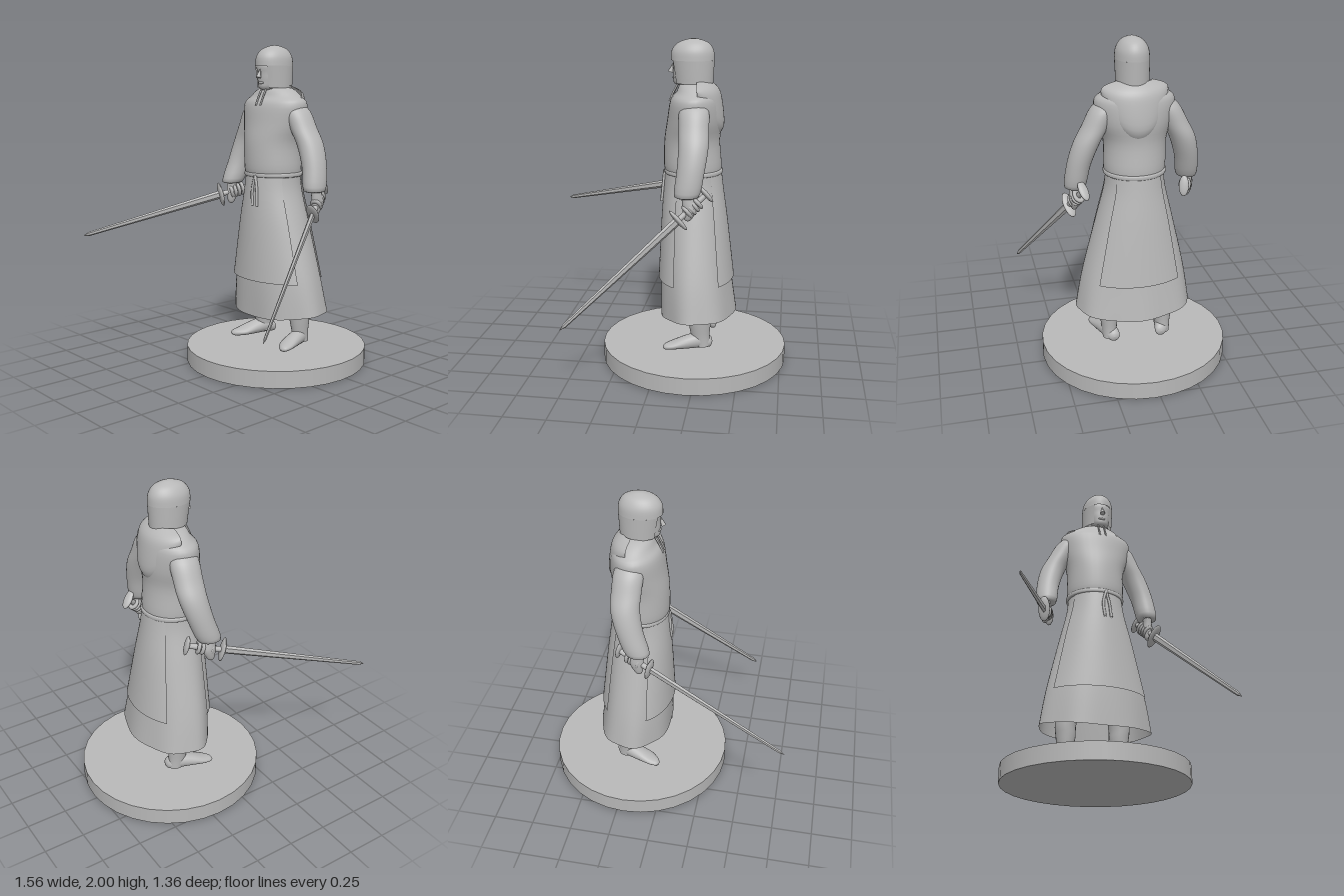
import * as THREE from 'three';

const cloth = new THREE.MeshStandardMaterial({ color: 0xb8b8b8, side: THREE.DoubleSide });
cloth.name = 'plain grey';

function part(parent, name, geometry, x = 0, y = 0, z = 0) {
  const mesh = new THREE.Mesh(geometry, cloth);
  mesh.name = name;
  mesh.position.set(x, y, z);
  parent.add(mesh);
  return mesh;
}

// Smoothly blends rows of numbers
function blend(rows, steps) {
  const out = [];
  for (let i = 0; i < rows.length - 1; i++) {
    const p = rows[Math.max(i - 1, 0)], a = rows[i], b = rows[i + 1];
    const q = rows[Math.min(i + 2, rows.length - 1)];
    for (let s = 0; s < steps; s++) {
      const t = s / steps;
      out.push(a.map((v, k) => {
        const m0 = (b[k] - p[k]) / 2, m1 = (q[k] - v) / 2;
        const r = v + m0 * t + (3 * (b[k] - v) - 2 * m0 - m1) * t * t + (2 * (v - b[k]) + m0 + m1) * t * t * t;
        return k > 2 ? Math.max(r, 0) : r;
      }));
    }
  }
  out.push(rows[rows.length - 1]);
  return out;
}

// Skin over oval rings [height, x, z, radiusX, radiusZ]; axis 'x' uses [x, y, z, radiusY, radiusZ] from heel to toe
function loft(rows, { axis = 'y', from = 0, to = Math.PI * 2, seg = 36, steps = 4, adjust } = {}) {
  const rings = blend(rows, steps), closed = to - from > 6.28;
  const cols = closed ? seg : seg + 1, pos = [], index = [];
  rings.forEach(([t, a, b, ra, rb], i) => {
    for (let j = 0; j < cols; j++) {
      const angle = from + (to - from) * j / seg;
      const p = [a + ra * Math.cos(angle), t, b + rb * Math.sin(angle)];
      if (adjust) adjust(p, angle, i / (rings.length - 1), a, b);
      pos.push(...(axis === 'y' ? p : [p[1], p[0], p[2]]));
    }
  });
  for (let i = 0; i < rings.length - 1; i++) {
    for (let j = 0; j < seg; j++) {
      const a = i * cols + j, b = i * cols + (j + 1) % cols;
      index.push(a, a + cols, b, b, a + cols, b + cols);
    }
  }
  const g = new THREE.BufferGeometry();
  g.setAttribute('position', new THREE.Float32BufferAttribute(pos, 3));
  g.setIndex(index);
  g.computeVertexNormals();
  return g;
}

function tube(points, radius) {
  const curve = new THREE.CatmullRomCurve3(points.map(p => new THREE.Vector3(...p)));
  return new THREE.TubeGeometry(curve, 12, radius, 6);
}

// Sword with its gripping fingers, local +y runs from pommel to tip
function sword(parent, name, pommel, tip) {
  const start = new THREE.Vector3(...pommel), end = new THREE.Vector3(...tip);
  const length = start.distanceTo(end), guard = 0.22;
  const y = end.clone().sub(start).normalize();
  const z = y.clone().cross(new THREE.Vector3(0, 1, 0)).normalize();
  const x = y.clone().cross(z);
  const g = new THREE.Group();
  g.name = name;
  g.position.copy(start);
  g.quaternion.setFromRotationMatrix(new THREE.Matrix4().makeBasis(x, y, z));
  const point = 0.035, bladeLength = length - guard - point;
  const flat = geo => geo.toNonIndexed();
  const blade = part(g, 'blade', flat(new THREE.CylinderGeometry(0.013, 0.027, bladeLength, 6)), 0, guard + bladeLength / 2);
  const bladeTip = part(g, 'bladeTip', flat(new THREE.ConeGeometry(0.013, point, 6)), 0, length - point / 2);
  for (const m of [blade, bladeTip]) {
    m.geometry.rotateY(Math.PI / 2);
    m.geometry.scale(1, 1, 0.5);
    m.geometry.computeVertexNormals();
  }
  part(g, 'grip', new THREE.CylinderGeometry(0.017, 0.017, guard, 12), 0, guard / 2);
  part(g, 'guard', new THREE.SphereGeometry(1, 20, 12), 0, guard).scale.set(0.08, 0.015, 0.036);
  part(g, 'pommel', new THREE.SphereGeometry(1, 20, 12)).scale.set(0.063, 0.015, 0.03);
  for (let i = 0; i < 4; i++) {
    const finger = part(g, 'finger', new THREE.TorusGeometry(0.026, 0.012, 8, 16), 0, 0.07 + i * 0.026);
    finger.rotation.x = Math.PI / 2;
    finger.scale.x = 1.25;
  }
  parent.add(g);
}

export function createModel() {
  const model = new THREE.Group();
  model.name = 'robedSwordsman';
  part(model, 'base', new THREE.CylinderGeometry(0.575, 0.575, 0.105, 32), 0.205, 0.0525, 0.03);

  // Long robe skirt, open at the hem with soft folds
  const skirtRows = [
    [0.335, 0.232, 0.035, 0.232, 0.355], [0.57, 0.215, 0.03, 0.215, 0.315],
    [0.9, 0.2, 0.022, 0.19, 0.235], [1.1, 0.192, 0.018, 0.173, 0.185], [1.21, 0.19, 0.018, 0.165, 0.173]];
  part(model, 'skirt', loft(skirtRows, {
    seg: 64, steps: 6, adjust: (p, angle, t, cx, cz) => {
      const drop = (1 - t) ** 2, fold = 1 + 0.018 * drop * Math.cos(7 * angle);
      p[0] = cx + (p[0] - cx) * fold;
      p[2] = cz + (p[2] - cz) * fold;
      p[1] += drop * (0.025 * Math.sin(angle) ** 2 - 0.012 + 0.008 * Math.cos(angle));
    },
  }));

  // Front and back panels hanging over the skirt
  const panelRows = skirtRows.slice(1).map(([y, x, z, rx, rz], i) =>
    [i ? y : 0.55, x, z, rx + 0.018 - i * 0.004, rz + 0.015 - i * 0.004]);
  for (const [name, mid, half] of [['frontPanel', Math.PI, 1.1], ['backPanel', 0, 0.83]]) {
    part(model, name, loft(panelRows, { from: mid - half, to: mid + half }));
  }

  // Upper body, belt and its hanging ends
  part(model, 'tunic', loft([
    [1.19, 0.19, 0.018, 0.165, 0.175], [1.25, 0.185, 0.018, 0.175, 0.185],
    [1.4, 0.18, 0.015, 0.168, 0.187], [1.52, 0.195, 0.02, 0.165, 0.22],
    [1.64, 0.2, 0.022, 0.15, 0.237], [1.69, 0.205, 0.022, 0.12, 0.19],
    [1.74, 0.2, 0.025, 0.085, 0.11], [1.755, 0.2, 0.025, 0, 0]]));
  part(model, 'belt', loft([
    [1.195, 0.19, 0.018, 0.165, 0.175], [1.2, 0.19, 0.018, 0.177, 0.187],
    [1.22, 0.19, 0.018, 0.177, 0.187], [1.225, 0.19, 0.018, 0.165, 0.175]]));
  for (const z of [0.02, 0.06]) {
    part(model, 'beltEnd', tube([[0.015, 1.21, 0.04], [0.008, 1.12, z], [0, 1.02, z + 0.01]], 0.009));
  }

  // Cowl lying on the shoulders, pointed at the back
  part(model, 'cowl', loft([
    [1.755, 0.2, 0.025, 0.085, 0.105], [1.71, 0.2, 0.025, 0.135, 0.175],
    [1.64, 0.2, 0.025, 0.158, 0.2], [1.5, 0.2, 0.025, 0.172, 0.18], [1.43, 0.2, 0.025, 0.14, 0.15]].reverse(), {
    from: -1.4, to: 1.4,
    adjust: (p, angle) => { p[1] = 1.755 - (1.755 - p[1]) * (0.35 + 0.65 * Math.cos(angle)); },
  }));

  // Head, with a close hood open around the face
  part(model, 'neck', new THREE.CylinderGeometry(0.07, 0.08, 0.12, 20), 0.18, 1.74, 0.03);
  part(model, 'face', loft([
    [1.725, 0.15, 0.03, 0, 0], [1.735, 0.135, 0.03, 0.06, 0.045], [1.78, 0.14, 0.03, 0.074, 0.066],
    [1.83, 0.145, 0.03, 0.08, 0.075], [1.89, 0.15, 0.03, 0.08, 0.078], [1.93, 0.16, 0.03, 0, 0]]));
  const nose = part(model, 'nose', new THREE.ConeGeometry(0.016, 0.065, 8), 0.058, 1.835, 0.03);
  nose.rotation.z = -0.3;
  part(model, 'mouth', new THREE.SphereGeometry(1, 12, 8), 0.072, 1.773, 0.03).scale.set(0.012, 0.009, 0.024);
  const hood = [
    [1.74, 0.188, 0.03, 0.115, 0.096], [1.8, 0.185, 0.03, 0.121, 0.098],
    [1.875, 0.18, 0.03, 0.13, 0.1], [1.93, 0.18, 0.03, 0.125, 0.093],
    [1.975, 0.183, 0.03, 0.092, 0.065], [1.998, 0.185, 0.03, 0.03, 0.022], [2, 0.185, 0.03, 0, 0]];
  part(model, 'hoodSides', loft(hood.slice(0, 3), { from: -Math.PI + 0.55, to: Math.PI - 0.55 }));
  part(model, 'hoodCrown', loft(hood.slice(2)));
  for (const z of [0.01, 0.05]) {
    part(model, 'hoodTie', tube([[0.1, 1.745, z], [0.07, 1.69, z], [0.045, 1.635, z]], 0.006));
  }

  // Sleeves with turned cuffs, and the hands
  const arms = [
    ['leftArm', [[1.66, 0.205, 0.17], [1.6, 0.21, 0.205], [1.5, 0.215, 0.255], [1.4, 0.22, 0.31], [1.27, 0.21, 0.355], [1.13, 0.19, 0.378]], [0.21, 0.385]],
    ['rightArm', [[1.66, 0.205, -0.13], [1.6, 0.21, -0.165], [1.5, 0.215, -0.215], [1.4, 0.215, -0.265], [1.27, 0.185, -0.3], [1.13, 0.135, -0.318]], [0.14, -0.325]]];
  const girth = [[0.04, 0.04], [0.085, 0.075], [0.088, 0.078], [0.086, 0.077], [0.08, 0.07], [0.07, 0.06]];
  for (const [name, path, [hx, hz]] of arms) {
    const rows = path.map((p, i) => [...p, ...girth[i]]);
    const [y, x, z] = path[5];
    part(model, name, loft([[y + 0.015, x, z, 0, 0], ...rows.reverse(), [1.68, 0.205, path[0][2], 0, 0]]));
    part(model, name + 'Hand', loft([
      [0.985, hx - 0.01, hz, 0, 0], [1.0, hx - 0.01, hz, 0.022, 0.018], [1.06, hx, hz, 0.042, 0.03],
      [1.11, (hx + x) / 2, hz, 0.036, 0.028], [1.17, x, z, 0.034, 0.03]], { seg: 16 }));
  }
  sword(model, 'leftSword', [0.3, 1.14, 0.345], [-0.5, 0.39, 0.676]);
  sword(model, 'rightSword', [0.26, 1.1, -0.27], [-0.78, 0.828, -0.68]);

  // Legs and soft shoes, toes turned slightly outward
  for (const side of [1, -1]) {
    const z = 0.025 + side * 0.17, name = side > 0 ? 'left' : 'right';
    part(model, name + 'Leg', loft([
      [0.14, 0.27, z, 0.05, 0.042], [0.21, 0.26, z, 0.058, 0.048], [0.3, 0.255, z, 0.07, 0.06],
      [0.4, 0.25, z, 0.078, 0.066], [0.7, 0.23, z - side * 0.04, 0.09, 0.08]], { seg: 20 }));
    const out = side * 0.02;
    part(model, name + 'Shoe', loft([
      [0.335, 0.16, z - out, 0, 0], [0.32, 0.16, z - out, 0.034, 0.035], [0.26, 0.175, z, 0.05, 0.048],
      [0.18, 0.165, z + out, 0.042, 0.054], [0.1, 0.15, z + out * 2, 0.026, 0.055],
      [0.05, 0.143, z + out * 3, 0.017, 0.03], [0.035, 0.14, z + out * 3, 0, 0]], {
      axis: 'x', seg: 20, adjust: p => { p[0] = Math.max(p[0], 0.126); },
    }));
  }
  return model;
}
